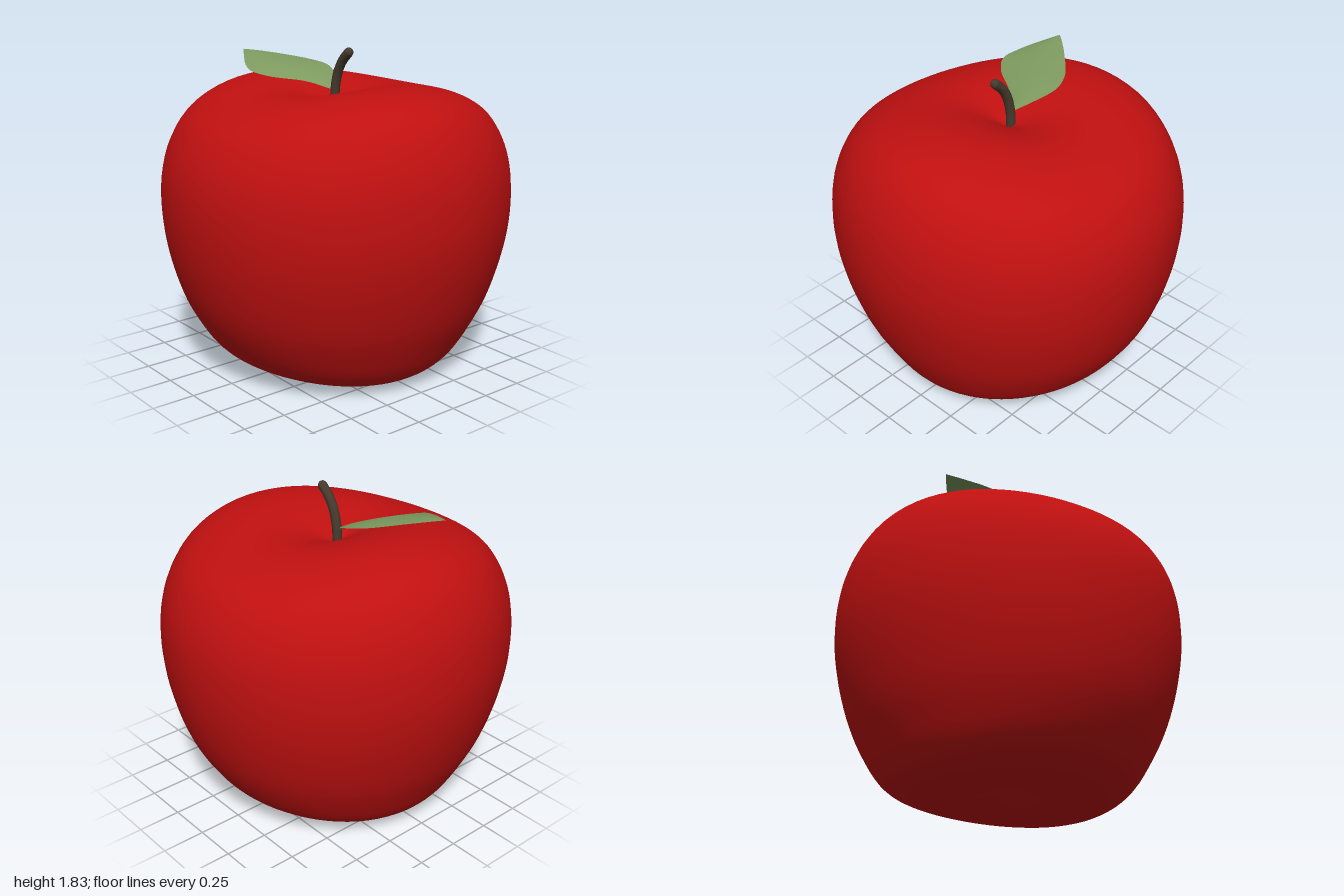
import * as THREE from 'three';
import { mergeVertices } from 'three/addons/utils/BufferGeometryUtils.js';

const red = new THREE.MeshStandardMaterial({ color: 0xc01010 });
red.name = 'apple red';
const brown = new THREE.MeshStandardMaterial({ color: 0x463a2e });
brown.name = 'stem brown';
const green = new THREE.MeshStandardMaterial({ color: 0x7d9a5f, side: THREE.DoubleSide });
green.name = 'leaf green';

const curve2 = (pts) => new THREE.SplineCurve(pts.map((p) => new THREE.Vector2(...p)));
const curve3 = (pts) => new THREE.CatmullRomCurve3(pts.map((p) => new THREE.Vector3(...p)));

function add(group, name, geometry, material) {
  const mesh = new THREE.Mesh(geometry, material);
  mesh.name = name;
  group.add(mesh);
  return mesh;
}

// Fruit: a lathe whose profile blends between a side-to-side and a front-to-back section
function fruitGeometry() {
  const across = curve2([
    [0, 0.12], [0.09, 0.07], [0.25, 0.018], [0.44, 0.002], [0.6, 0.03], [0.71, 0.11],
    [0.8, 0.26], [0.88, 0.43], [0.95, 0.65], [0.99, 0.85], [1, 1.02], [0.985, 1.2],
    [0.94, 1.36], [0.86, 1.5], [0.75, 1.59], [0.61, 1.637], [0.44, 1.652], [0.25, 1.62],
    [0.1, 1.56], [0, 1.5],
  ]);
  const along = curve2([
    [0, 0.12], [0.09, 0.08], [0.25, 0.045], [0.45, 0.033], [0.61, 0.08], [0.73, 0.17],
    [0.84, 0.33], [0.91, 0.48], [0.96, 0.65], [0.99, 0.82], [1, 1], [0.985, 1.16],
    [0.94, 1.3], [0.86, 1.425], [0.75, 1.505], [0.6, 1.565], [0.42, 1.595], [0.25, 1.58],
    [0.1, 1.54], [0, 1.5],
  ]);
  const rows = 76, sides = 72;
  const a = across.getPoints(rows), b = along.getPoints(rows);
  const geometry = new THREE.LatheGeometry(a, sides);
  const pos = geometry.attributes.position;
  for (let i = 0; i <= sides; i++) {
    const angle = ((i % sides) / sides) * Math.PI * 2;
    const blend = Math.cos(angle) ** 2;
    for (let j = 0; j <= rows; j++) {
      const p = a[j].clone().lerp(b[j], blend);
      const r = j === 0 || j === rows ? 0 : p.x;
      pos.setXYZ(i * (rows + 1) + j, r * Math.sin(angle), p.y, r * Math.cos(angle));
    }
  }
  geometry.deleteAttribute('uv');
  geometry.deleteAttribute('normal');
  const merged = mergeVertices(geometry);
  merged.computeVertexNormals();
  return merged;
}

// Leaf: cross-sections strung between its two curved edges, arched along the middle
function leafGeometry() {
  const back = curve3([
    [-0.03, 1.585, 0], [-0.12, 1.645, -0.085], [-0.24, 1.69, -0.135], [-0.36, 1.715, -0.095],
    [-0.5, 1.745, 0.03], [-0.59, 1.762, 0.125], [-0.645, 1.77, 0.19],
  ]);
  const front = curve3([
    [-0.03, 1.585, 0], [-0.13, 1.63, 0.11], [-0.24, 1.66, 0.28], [-0.33, 1.685, 0.345],
    [-0.43, 1.71, 0.32], [-0.55, 1.745, 0.25], [-0.645, 1.77, 0.19],
  ]);
  const rows = 28, cols = 8, vertices = [], index = [];
  for (let i = 0; i <= rows; i++) {
    const t = i / rows, p = back.getPoint(t), q = front.getPoint(t);
    for (let j = 0; j <= cols; j++) {
      const s = j / cols, v = p.clone().lerp(q, s);
      v.y += 0.02 * Math.sin(Math.PI * s) * Math.sin(Math.PI * t);
      vertices.push(v.x, v.y, v.z);
      if (i < rows && j < cols) {
        const k = i * (cols + 1) + j, n = k + cols + 1;
        index.push(k, n, k + 1, n, n + 1, k + 1);
      }
    }
  }
  const geometry = new THREE.BufferGeometry();
  geometry.setAttribute('position', new THREE.Float32BufferAttribute(vertices, 3));
  geometry.setIndex(index);
  geometry.computeVertexNormals();
  return geometry;
}

export function createModel() {
  const apple = new THREE.Group();
  apple.name = 'apple';
  add(apple, 'fruit', fruitGeometry(), red);
  add(apple, 'leaf', leafGeometry(), green);

  // Stem: bent tube with a rounded tip
  const path = curve3([
    [-0.02, 1.46, -0.005], [-0.012, 1.6, -0.005], [0.012, 1.69, -0.005],
    [0.05, 1.755, -0.005], [0.105, 1.808, -0.005],
  ]);
  const stem = new THREE.Group();
  stem.name = 'stem';
  apple.add(stem);
  add(stem, 'stemShaft', new THREE.TubeGeometry(path, 20, 0.027, 12), brown);
  const tip = add(stem, 'stemTip', new THREE.SphereGeometry(0.027, 12, 8), brown);
  tip.position.copy(path.getPoint(1));
  return apple;
}
